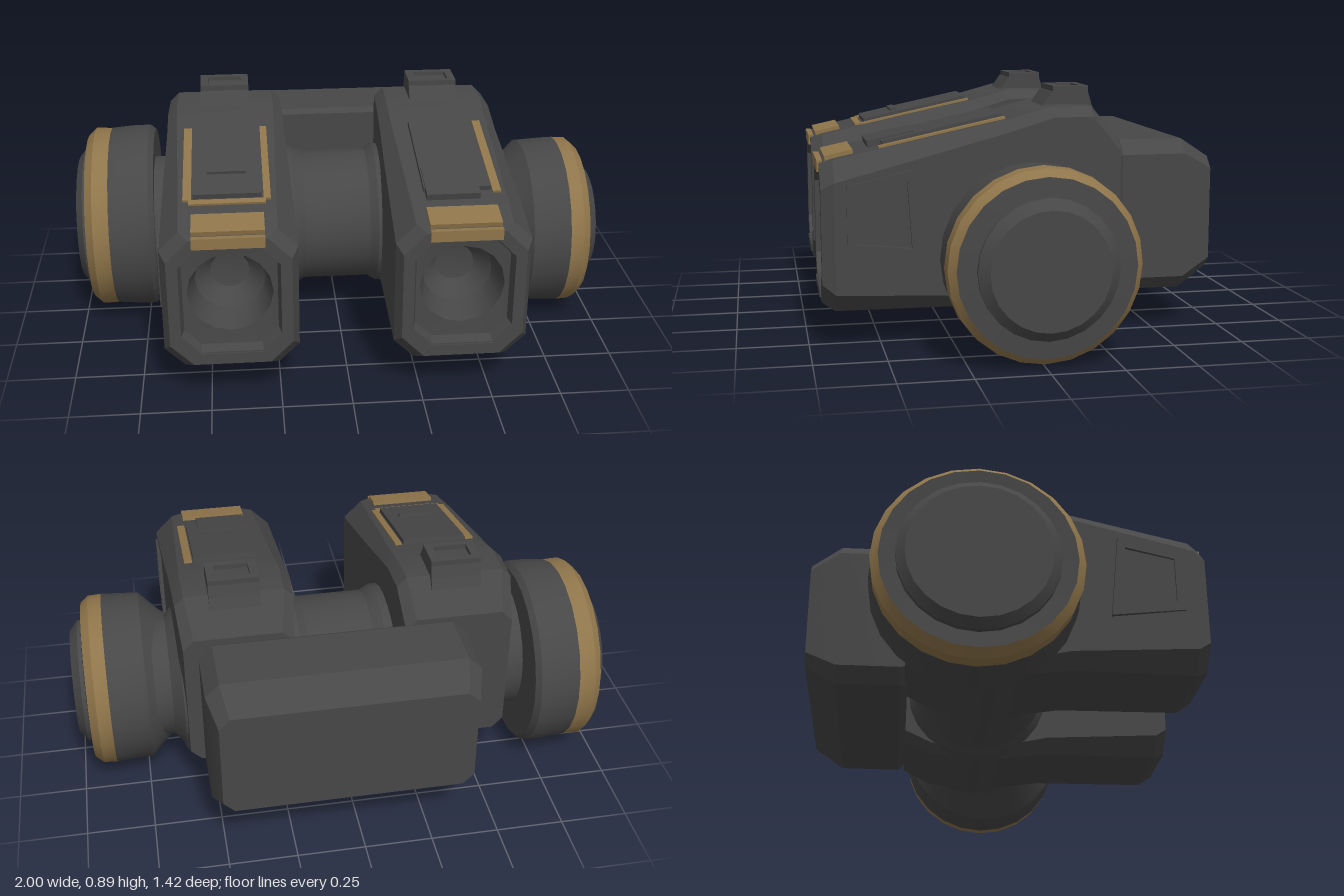
import * as THREE from 'three';
import { toCreasedNormals } from 'three/addons/utils/BufferGeometryUtils.js';

const grey = new THREE.MeshStandardMaterial({ color: 0x474747 });
grey.name = 'dark grey';
const gold = new THREE.MeshStandardMaterial({ color: 0x8f754a });
gold.name = 'dull gold';

function part(name, geometry, material, parent, x = 0, y = 0, z = 0) {
  const mesh = new THREE.Mesh(geometry, material);
  mesh.name = name;
  mesh.position.set(x, y, z);
  parent.add(mesh);
  return mesh;
}

// Chamfered rectangle as 16 points: corners plus edge middles
function octagon(hw, y0, y1, c, z) {
  const m = (y0 + y1) / 2, h = (y1 - y0) / 2;
  const corners = [
    [hw, h - c], [hw - c, h], [c - hw, h], [-hw, h - c],
    [-hw, c - h], [c - hw, -h], [hw - c, -h], [hw, c - h],
  ];
  const ring = [];
  for (let i = 0; i < 8; i++) {
    const a = corners[(i + 7) % 8], b = corners[i];
    ring.push(new THREE.Vector3((a[0] + b[0]) / 2, m + (a[1] + b[1]) / 2, z));
    ring.push(new THREE.Vector3(b[0], m + b[1], z));
  }
  return ring;
}

function circle(r, y, z) {
  return Array.from({ length: 16 }, (_, i) =>
    new THREE.Vector3(r * Math.cos(i * Math.PI / 8), y + r * Math.sin(i * Math.PI / 8), z));
}

// Skin through successive rings
function loft(rings) {
  const pos = [];
  for (let i = 0; i + 1 < rings.length; i++) {
    for (let k = 0; k < 16; k++) {
      const n = (k + 1) % 16;
      const a = rings[i][k], b = rings[i][n], c = rings[i + 1][n], d = rings[i + 1][k];
      for (const t of [[a, b, c], [a, c, d]]) {
        if (t[0].equals(t[1]) || t[1].equals(t[2]) || t[0].equals(t[2])) continue;
        for (const p of t) pos.push(p.x, p.y, p.z);
      }
    }
  }
  const g = new THREE.BufferGeometry();
  g.setAttribute('position', new THREE.Float32BufferAttribute(pos, 3));
  return toCreasedNormals(g, 0.45);
}

// Turned part around the x axis; profile is [radius, distance outwards]
function turned(profile, side) {
  const g = new THREE.LatheGeometry(profile.map(p => new THREE.Vector2(...p)), 24);
  g.rotateZ(-side * Math.PI / 2);
  return toCreasedNormals(g, 0.45);
}

function wheel(side, y, z, body, band, cap) {
  const g = new THREE.Group();
  g.name = side > 0 ? 'leftWheel' : 'rightWheel';
  g.position.set(0, y, z);
  part('wheelBody', turned(body, side), grey, g);
  part('wheelBand', turned(band, side), gold, g);
  part('hubCap', turned(cap, side), grey, g);
  return g;
}

const SLOPE = 0.21;
const topY = z => 0.78 - (z - 0.05) * 0.213;

// Plate lying on the sloping top of a pod
function topPlate(name, parent, material, x, z, w, h, d, lift = 0) {
  const m = part(name, new THREE.BoxGeometry(w, h, d), material, parent, x, topY(z) + lift, z);
  m.rotation.x = SLOPE;
  return m;
}

function pod(side) {
  const g = new THREE.Group();
  g.name = side > 0 ? 'leftPod' : 'rightPod';
  g.position.set(side > 0 ? 0.39 : -0.42, 0, side > 0 ? 0 : -0.01);

  // Housing, running on into the recessed face and the round bore
  part('podHousing', loft([
    circle(0, 0.42, -0.345),
    octagon(0.2, 0.16, 0.7, 0.04, -0.345),
    octagon(0.215, 0.11, 0.82, 0.035, -0.24),
    octagon(0.22, 0.1, 0.82, 0.035, -0.1),
    octagon(0.222, 0.1, 0.78, 0.04, 0.05),
    octagon(0.228, 0.125, 0.745, 0.05, 0.22),
    octagon(0.238, 0.125, 0.65, 0.07, 0.66),
    octagon(0.215, 0.15, 0.635, 0.08, 0.705),
    octagon(0.175, 0.2, 0.6, 0.065, 0.705),
    octagon(0.165, 0.21, 0.59, 0.06, 0.665),
    circle(0.15, 0.41, 0.66),
    circle(0.125, 0.41, 0.55),
    circle(0.07, 0.41, 0.49),
    circle(0, 0.41, 0.48),
  ]), grey, g);
  part('chinBar', new THREE.BoxGeometry(0.24, 0.03, 0.02), grey, g, 0, 0.18, 0.7);

  // Gold lip over the front edge
  topPlate('frontLip', g, gold, 0, 0.635, 0.25, 0.025, 0.1, 0.002);
  part('frontLipFace', new THREE.BoxGeometry(0.25, 0.04, 0.02), gold, g, 0, 0.625, 0.702);

  // Top hatch with gold seams
  topPlate('hatch', g, grey, 0, 0.275, 0.24, 0.03, 0.43, 0.004);
  topPlate('outerSeam', g, gold, side * 0.14, 0.28, 0.03, 0.016, 0.45);
  if (side < 0) {
    topPlate('innerSeam', g, gold, 0.14, 0.28, 0.025, 0.016, 0.45);
    topPlate('frontSeam', g, gold, 0, 0.51, 0.27, 0.016, 0.025);
    topPlate('hatchGrip', g, grey, 0, 0.36, 0.14, 0.02, 0.025, 0.02);
  } else {
    topPlate('hatchStep', g, grey, -0.02, 0.45, 0.19, 0.03, 0.17, 0.01);
  }

  // Raised block on the roof with a sunken top
  const block = new THREE.Shape([[-0.28, 0.78], [-0.06, 0.78], [-0.12, 0.865], [-0.2, 0.87], [-0.25, 0.87], [-0.265, 0.82]]
    .map(p => new THREE.Vector2(...p)));
  const bg = new THREE.ExtrudeGeometry(block, { depth: 0.185, bevelEnabled: false });
  bg.rotateY(-Math.PI / 2);
  part('roofBlock', bg, grey, g, 0.0925);
  const rim = new THREE.BoxGeometry(0.185, 0.02, 0.025);
  for (const z of [-0.24, -0.137]) part('roofBlockRim', rim, grey, g, 0, 0.875, z);
  const railing = new THREE.BoxGeometry(0.03, 0.02, 0.12);
  for (const x of [-0.0775, 0.0775]) part('roofBlockRail', railing, grey, g, x, 0.875, -0.19);

  // Slanted window frame on the outer side
  const pts = a => a.map(p => new THREE.Vector2(...p));
  const frame = new THREE.Shape(pts([[0.36, 0.31], [0.62, 0.34], [0.62, 0.57], [0.39, 0.62]]));
  frame.holes.push(new THREE.Path(pts([[0.4, 0.35], [0.59, 0.37], [0.59, 0.54], [0.415, 0.58]])));
  const fg = new THREE.ExtrudeGeometry(frame, { depth: 0.03, bevelEnabled: false });
  fg.rotateY(-Math.PI / 2);
  part('sideFrame', fg, grey, g, side > 0 ? 0.245 : -0.215);
  return g;
}

export function createModel() {
  const model = new THREE.Group();
  model.name = 'twinPodCarriage';

  // Axle with collars
  const axle = turned([
    [0, -0.72], [0.25, -0.72], [0.25, -0.62], [0.275, -0.6], [0.275, -0.17], [0.255, -0.13],
    [0.255, 0.12], [0.275, 0.15], [0.275, 0.6], [0.23, 0.64], [0.23, 0.7], [0, 0.7],
  ], 1);
  part('axle', axle, grey, model, 0, 0.36, -0.06);

  // Rear box with chamfered back
  part('rearBox', loft([
    circle(0, 0.415, -0.71),
    octagon(0.455, 0.21, 0.62, 0.04, -0.71),
    octagon(0.488, 0.14, 0.69, 0.05, -0.6),
    octagon(0.488, 0.14, 0.69, 0.05, -0.37),
    octagon(0.47, 0.155, 0.675, 0.05, -0.345),
    circle(0, 0.415, -0.345),
  ]), grey, model, 0.05);

  model.add(pod(1), pod(-1));

  model.add(wheel(1, 0.33, 0,
    [[0, 0.62], [0.22, 0.62], [0.25, 0.66], [0.32, 0.73], [0.328, 0.87]],
    [[0.328, 0.87], [0.325, 0.92], [0.3, 0.95]],
    [[0.3, 0.95], [0.235, 0.955], [0.235, 0.97], [0.2, 1], [0, 1]]));
  model.add(wheel(-1, 0.352, -0.13,
    [[0, 0.7], [0.34, 0.7], [0.358, 0.72], [0.358, 0.78], [0.35, 0.87]],
    [[0.35, 0.87], [0.352, 0.93], [0.325, 0.96]],
    [[0.325, 0.96], [0.27, 0.955], [0.27, 0.975], [0.24, 1], [0, 1]]));
  return model;
}
